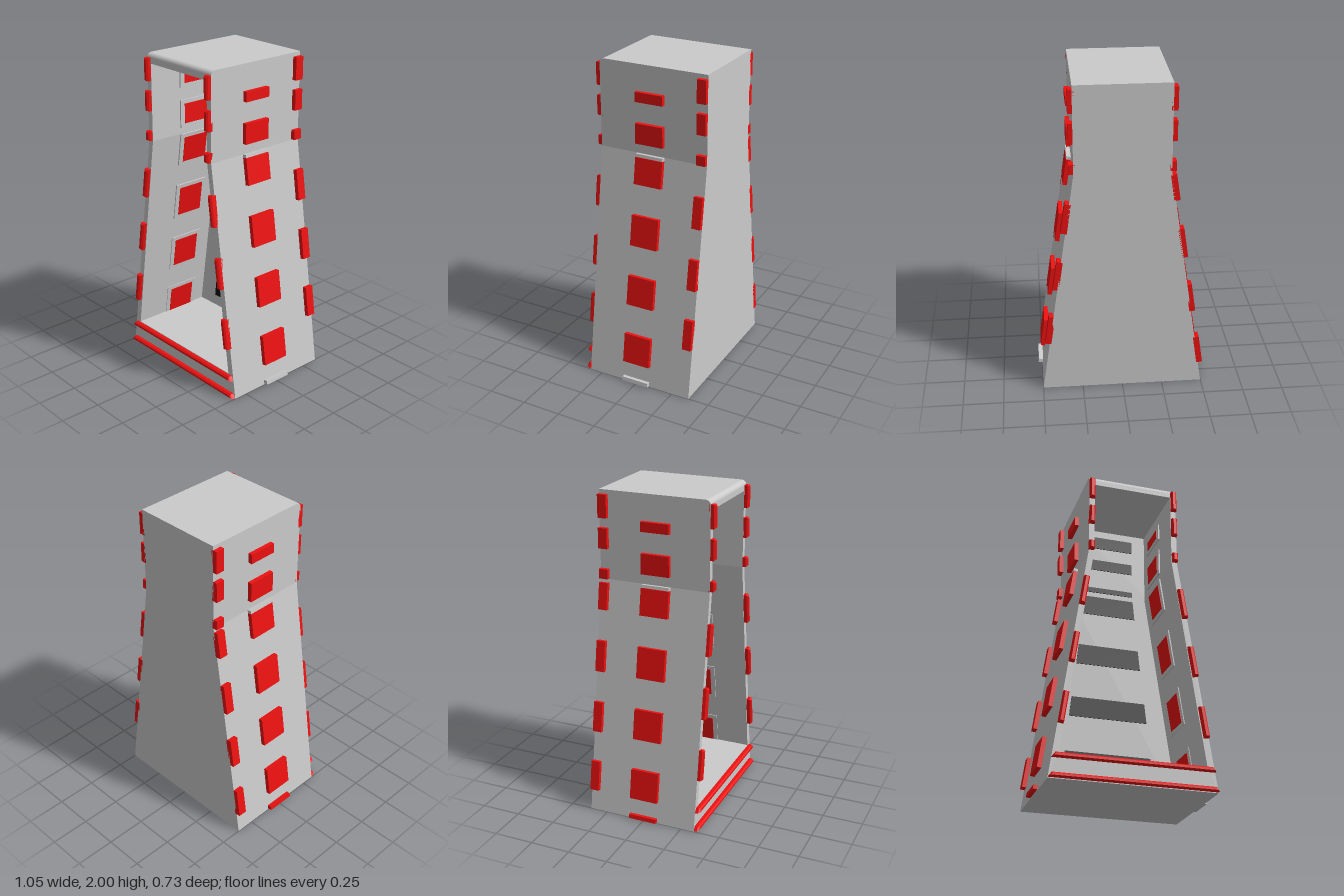
import * as THREE from 'three';

const BACK = -0.365, CAVITY = -0.2, FRONT = 0.335, KNEE = 1.46;
const grey = new THREE.MeshStandardMaterial({ color: 0xcccccc });
const red = new THREE.MeshStandardMaterial({ color: 0xee1111 });
const black = new THREE.MeshStandardMaterial({ color: 0x0a0a0a });

// Half width of the tower at height y: tapered below the knee, straight above
const halfWidth = y => (y >= KNEE ? 0.285 : 0.5 - 0.215 * y / KNEE);
const shapeOf = pts => new THREE.Shape(pts.map(p => new THREE.Vector2(p[0], p[1])));

export function createModel() {
  const model = new THREE.Group();

  const add = (parent, name, geometry, material) => {
    const mesh = new THREE.Mesh(geometry, material);
    mesh.name = name;
    parent.add(mesh);
    return mesh;
  };
  const prism = (shape, z0, z1) =>
    new THREE.ExtrudeGeometry(shape, { depth: z1 - z0, bevelEnabled: false }).translate(0, 0, z0);
  // Prism with a chamfered front, its rear end sunk into the body
  const chamfered = (shape, z0, z1) =>
    new THREE.ExtrudeGeometry(shape, {
      depth: z1 - z0 - 0.01, bevelThickness: 0.01, bevelSize: 0.008, bevelOffset: -0.008, bevelSegments: 1,
    }).translate(0, 0, z0);

  // Tapered outline with a given top height
  const outline = top => shapeOf([
    [-0.5, 0], [0.5, 0], [0.285, KNEE], [0.285, top], [-0.285, top], [-0.285, KNEE]]);
  const ring = top => {
    const s = outline(top);
    s.holes.push(shapeOf([
      [-0.437, 0.15], [-0.25, KNEE], [-0.25, 1.94], [0.25, 1.94], [0.25, KNEE], [0.437, 0.15]]));
    return s;
  };

  // Body: solid rear, open shell and rounded top lip
  const body = new THREE.Group();
  body.name = 'body';
  model.add(body);
  add(body, 'rearWall', prism(outline(2), BACK, CAVITY), grey);
  add(body, 'shell', prism(ring(2), CAVITY, FRONT - 0.03), grey);
  add(body, 'frontRim', prism(ring(1.97), FRONT - 0.03, FRONT), grey);
  const lip = new THREE.CylinderGeometry(0.03, 0.03, 0.57, 24);
  lip.rotateZ(Math.PI / 2).translate(0, 1.97, FRONT - 0.03);
  add(body, 'roundedTopEdge', lip, grey);

  // Plate lying along a side wall, between two offsets measured square to it
  const wallShape = (side, y0, y1, inner, outer) => {
    const sloped = (y0 + y1) / 2 < KNEE;
    const nx = sloped ? 0.989 : 1, ny = sloped ? 0.146 : 0;
    const at = (y, o) => [side * (halfWidth(y) + nx * o), y + ny * o];
    return shapeOf([at(y0, inner), at(y0, outer), at(y1, outer), at(y1, inner)]);
  };

  const lowerEven = [[0.135, 0.322], [0.515, 0.702], [0.895, 1.085], [1.275, 1.438]];
  const lowerOdd = [[0.325, 0.515], [0.705, 0.895], [1.085, 1.275]];
  const upperEdge = [[1.465, 1.525], [1.65, 1.775], [1.835, 1.975]];
  const upperSide = [[1.525, 1.65], [1.78, 1.84]];

  for (const side of [-1, 1]) {
    const trim = new THREE.Group();
    trim.name = side > 0 ? 'leftTrim' : 'rightTrim';
    model.add(trim);

    // Panels through the wall, with a frame on the inside
    for (const [a, b] of [...lowerEven, ...upperSide]) {
      add(trim, 'sidePanel', prism(wallShape(side, a, b, -0.047, 0.027), -0.09, 0.09), red);
      add(trim, 'innerFrame', prism(wallShape(side, a - 0.025, b + 0.025, -0.044, -0.02), -0.12, 0.12), grey);
    }
    // Small blocks at the knee and the foot
    add(trim, 'kneeBlock', prism(wallShape(side, 1.44, 1.459, -0.01, 0.027), -0.09, 0.09), grey);
    add(trim, 'footBlock', prism(wallShape(side, 0.005, 0.03, -0.01, 0.027), -0.09, 0.09), side > 0 ? grey : red);

    // Plates along the rear corner, staggered between the two sides
    for (const [a, b] of [...(side > 0 ? lowerOdd : lowerEven), ...upperEdge])
      add(trim, 'rearCornerPlate', prism(wallShape(side, a, b, -0.01, 0.027), BACK, -0.308), red);

    // Strips on the front rim
    for (const [a, b] of [...lowerOdd, ...upperEdge])
      add(trim, 'frontStrip', chamfered(wallShape(side, a, b, -0.033, 0), FRONT - 0.01, 0.365), red);
  }

  // Bars across the lower front
  for (const [a, b] of [[0.005, 0.03], [0.12, 0.146]]) {
    const w0 = halfWidth(a), w1 = halfWidth(b) - 0.015;
    add(model, 'frontBar', chamfered(shapeOf([[-w0, a], [w0, a], [w1, b], [-w1, b]]), FRONT - 0.01, 0.365), red);
  }

  // Dark panels on the rear wall of the cavity: bottom, top, lower and upper half width
  const slots = [
    [0.225, 0.355, 0.29, 0.275], [0.585, 0.715, 0.252, 0.238], [0.945, 1.08, 0.212, 0.198],
    [1.305, 1.435, 0.177, 0.165], [1.47, 1.505, 0.16, 0.16], [1.64, 1.715, 0.16, 0.16],
    [1.805, 1.89, 0.16, 0.16]];
  for (const [a, b, w0, w1] of slots)
    add(model, 'darkPanel', prism(shapeOf([[-w0, a], [w0, a], [w1, b], [-w1, b]]), CAVITY - 0.01, CAVITY + 0.004), black);

  return model;
}
